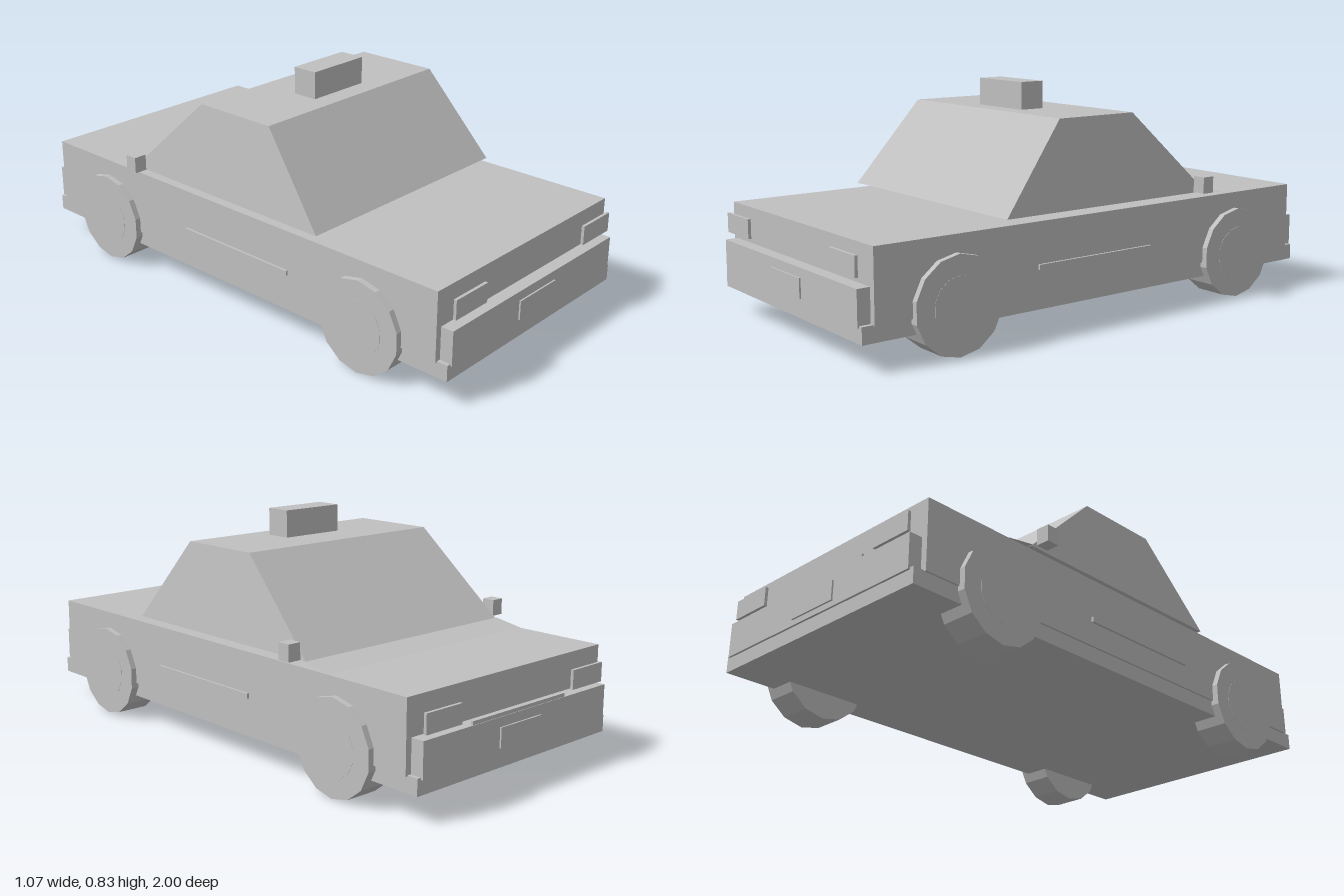
import * as THREE from 'three';

export function createModel() {
  const car = new THREE.Group();
  car.name = 'taxi';
  const grey = new THREE.MeshStandardMaterial({ color: 0xc0c0c0, flatShading: true, side: THREE.DoubleSide });
  grey.name = 'light grey';

  const add = (name, geometry) => {
    const mesh = new THREE.Mesh(geometry, grey);
    mesh.name = name;
    car.add(mesh);
    return mesh;
  };
  // Box given by its limits on each axis
  const box = (name, x0, x1, y0, y1, z0, z1) => {
    const g = new THREE.BoxGeometry(x1 - x0, y1 - y0, z1 - z0);
    g.translate((x0 + x1) / 2, (y0 + y1) / 2, (z0 + z1) / 2);
    return add(name, g);
  };

  // Lower body
  box('body', -0.485, 0.485, 0.15, 0.4, -0.943, 0.945);
  box('chassis', -0.477, 0.477, 0.095, 0.153, -0.984, 0.986);

  // Cabin: a box tapered to the roof
  const cabin = new THREE.BoxGeometry(1, 1, 1);
  const p = cabin.attributes.position;
  for (let i = 0; i < p.count; i++) {
    const top = p.getY(i) > 0;
    const front = p.getZ(i) > 0;
    p.setXYZ(i,
      Math.sign(p.getX(i)) * (top ? 0.436 : 0.478),
      top ? 0.73 : 0.419,
      front ? (top ? 0.178 : 0.433) : (top ? -0.155 : -0.487));
  }
  cabin.computeVertexNormals();
  add('cabin', cabin);
  box('roofSign', -0.127, 0.127, 0.728, 0.83, 0.004, 0.102);

  // Sloping cowl panel rising to the foot of the cabin
  const cowl = new THREE.PlaneGeometry(0.97, Math.hypot(0.113, 0.019));
  cowl.rotateX(-Math.PI / 2 + Math.atan2(0.019, 0.113) * -1);
  cowl.rotateY(Math.PI);
  cowl.rotateX(0);
  const c = cowl.attributes.position;
  for (let i = 0; i < c.count; i++) {
    const z = c.getZ(i);
    c.setY(i, z > 0 ? 0.42 : 0.401);
    c.setZ(i, z > 0 ? -0.487 : -0.6);
  }
  cowl.computeVertexNormals();
  add('cowl', cowl);

  // Bumpers and number plates at both ends
  box('frontBumper', -0.462, 0.462, 0.146, 0.27, 0.94, 0.992);
  box('rearBumper', -0.462, 0.462, 0.146, 0.27, -0.992, -0.94);
  box('frontPlate', -0.103, 0.103, 0.166, 0.236, 0.99, 0.998);
  box('rearPlate', -0.103, 0.103, 0.166, 0.236, -0.998, -0.99);
  box('grille', -0.235, 0.235, 0.2, 0.283, -0.99, -0.982);

  for (const s of [1, -1]) {
    const side = s > 0 ? 'left' : 'right';
    const pair = (name, x0, x1, ...rest) =>
      box(side + name, Math.min(s * x0, s * x1), Math.max(s * x0, s * x1), ...rest);
    pair('HeadLight', 0.283, 0.446, 0.3, 0.37, 0.977, 0.988);
    pair('TailLight', 0.283, 0.446, 0.283, 0.352, -0.988, -0.977);
    pair('SideTrim', 0.483, 0.494, 0.236, 0.254, -0.203, 0.308);
    pair('Mirror', 0.486, 0.536, 0.423, 0.483, -0.469, -0.42);

    // Wheels with nearly flush hubcaps
    for (const z of [0.641, -0.641]) {
      const end = z > 0 ? 'Front' : 'Rear';
      const disc = (name, r, width, x, sides) => {
        const g = new THREE.CylinderGeometry(r, r, width, sides);
        g.rotateZ(Math.PI / 2);
        // Put a vertex at the bottom of the wheel
        g.rotateX(Math.PI / 2);
        add(side + end + name, g).position.set(s * x, 0.17, z);
      };
      disc('Wheel', 0.17, 0.123, 0.4455, 14);
      disc('Hubcap', 0.1, 0.02, 0.498, 14);
    }
  }
  return car;
}
